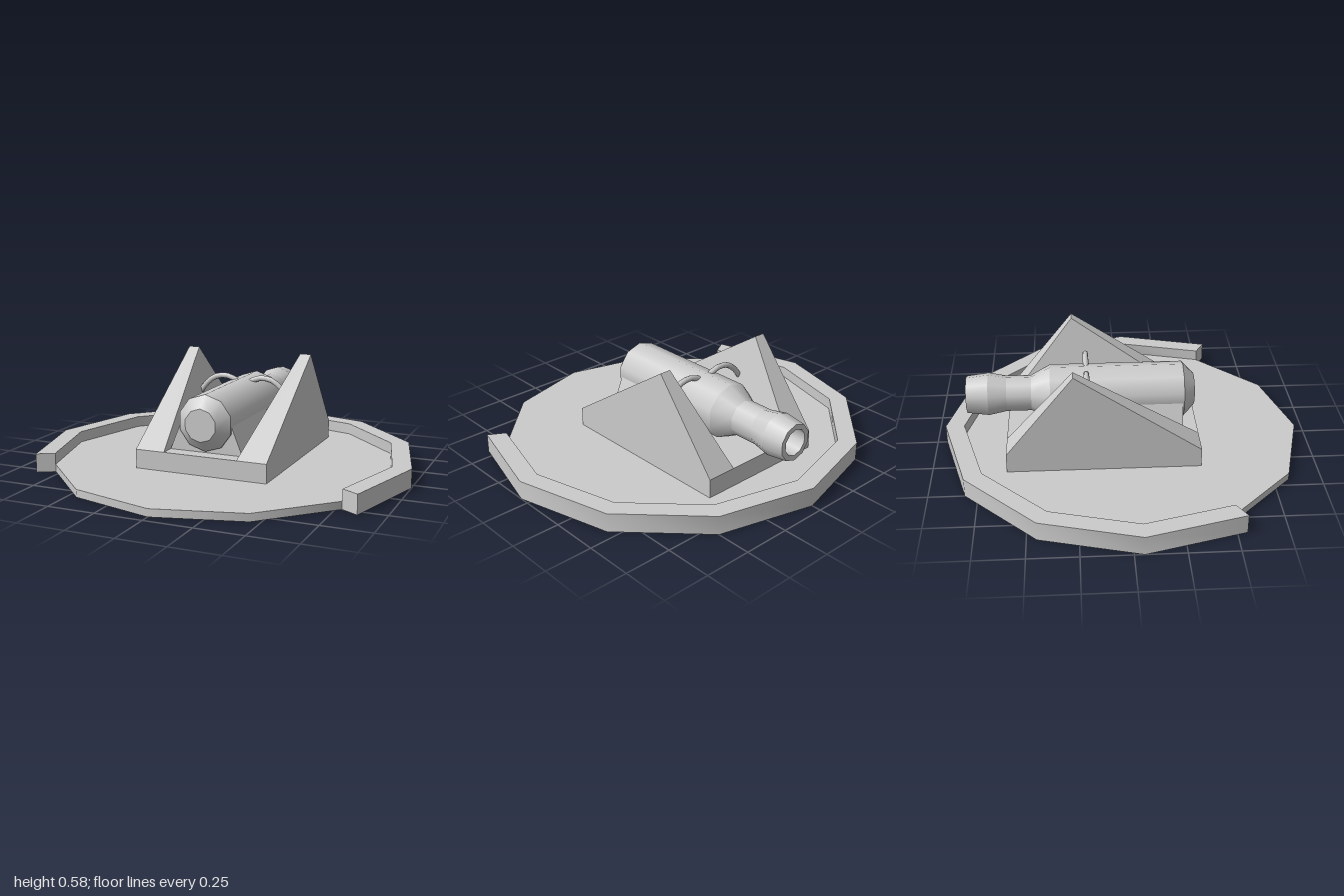
import * as THREE from 'three';
import { toCreasedNormals, mergeGeometries } from 'three/addons/utils/BufferGeometryUtils.js';
import { ConvexGeometry } from 'three/addons/geometries/ConvexGeometry.js';

const material = new THREE.MeshStandardMaterial({ color: 0xcccccc });
const shellMaterial = new THREE.MeshStandardMaterial({ color: 0xcccccc, side: THREE.DoubleSide });
const CENTRE_Z = 0.05;

function add(group, name, geometry, mat = material) {
  const mesh = new THREE.Mesh(geometry, mat);
  mesh.name = name;
  group.add(mesh);
  return mesh;
}

const hull = (corners) => new ConvexGeometry(corners.map((c) => new THREE.Vector3(...c)));
const profile = (points) => points.map(([r, y]) => new THREE.Vector2(r, y));

// Twelve-sided platform, a shell open underneath, with a rim round the back eight sides
function platform() {
  const group = new THREE.Group();
  group.name = 'platform';
  group.position.z = CENTRE_Z;
  add(group, 'deck', new THREE.CircleGeometry(0.9, 12).rotateX(-Math.PI / 2).translate(0, 0.04, 0), shellMaterial);
  add(group, 'frontEdge',
    new THREE.LatheGeometry(profile([[0.9, 0], [0.9, 0.04]]), 4, -Math.PI / 3, (2 * Math.PI) / 3), shellMaterial);
  const rim = new THREE.LatheGeometry(
    profile([[1, 0], [1, 0.1], [0.9, 0.1], [0.9, 0.04]]), 8, Math.PI / 3, (4 * Math.PI) / 3);
  add(group, 'rim', toCreasedNormals(rim, 0.7), shellMaterial);
  for (const angle of [-Math.PI / 6, (7 * Math.PI) / 6]) {
    add(group, 'rimEnd', new THREE.PlaneGeometry(0.1, 0.1).translate(0.95, 0.05, 0).rotateY(angle), shellMaterial);
  }
  return group;
}

// Hollow ten-sided barrel: [radius, z] from the bore floor out to the breech, creased at each ring
function barrelGeometry() {
  const rings = profile([
    [0, -0.62], [0.07, -0.62], [0.07, -0.82], [0.098, -0.82],
    [0.113, -0.705], [0.094, -0.61], [0.094, -0.48], [0.148, -0.38],
    [0.148, 0.32], [0.086, 0.38], [0, 0.38],
  ]);
  const bands = rings.slice(1).map((ring, i) => new THREE.LatheGeometry([rings[i], ring], 10));
  return mergeGeometries(bands).rotateX(Math.PI / 2).translate(0, 0.296, 0);
}

export function createModel() {
  const model = new THREE.Group();
  model.name = 'cannonOnPlatform';
  model.add(platform());

  // Mount
  add(model, 'mountBase', new THREE.BoxGeometry(0.72, 0.1, 1).translate(0, 0.09, -0.11));
  const cradle = [];
  for (const s of [-1, 1]) {
    cradle.push([s * 0.2, 0.14, 0.31], [s * 0.2, 0.14, -0.09], [s * 0.135, 0.3, 0.31], [s * 0.135, 0.3, -0.18]);
  }
  add(model, 'cradle', hull(cradle));

  // Barrel
  add(model, 'barrel', barrelGeometry());

  // Triangular cheeks and curved straps, mirrored
  for (const s of [-1, 1]) {
    const side = s > 0 ? 'left' : 'right';
    add(model, side + 'Cheek', hull([
      [s * 0.2, 0.14, 0.39], [s * 0.36, 0.14, 0.39],
      [s * 0.2, 0.14, -0.61], [s * 0.36, 0.14, -0.61],
      [s * 0.3, 0.58, -0.26], [s * 0.36, 0.58, -0.26],
    ]));
    const path = new THREE.CatmullRomCurve3(
      [[0.035, 0.42], [0.095, 0.443], [0.165, 0.435], [0.22, 0.395], [0.258, 0.345]]
        .map(([x, y]) => new THREE.Vector3(s * x, y, -0.19)));
    add(model, side + 'Strap', new THREE.TubeGeometry(path, 8, 0.015, 8));
  }
  return model;
}
